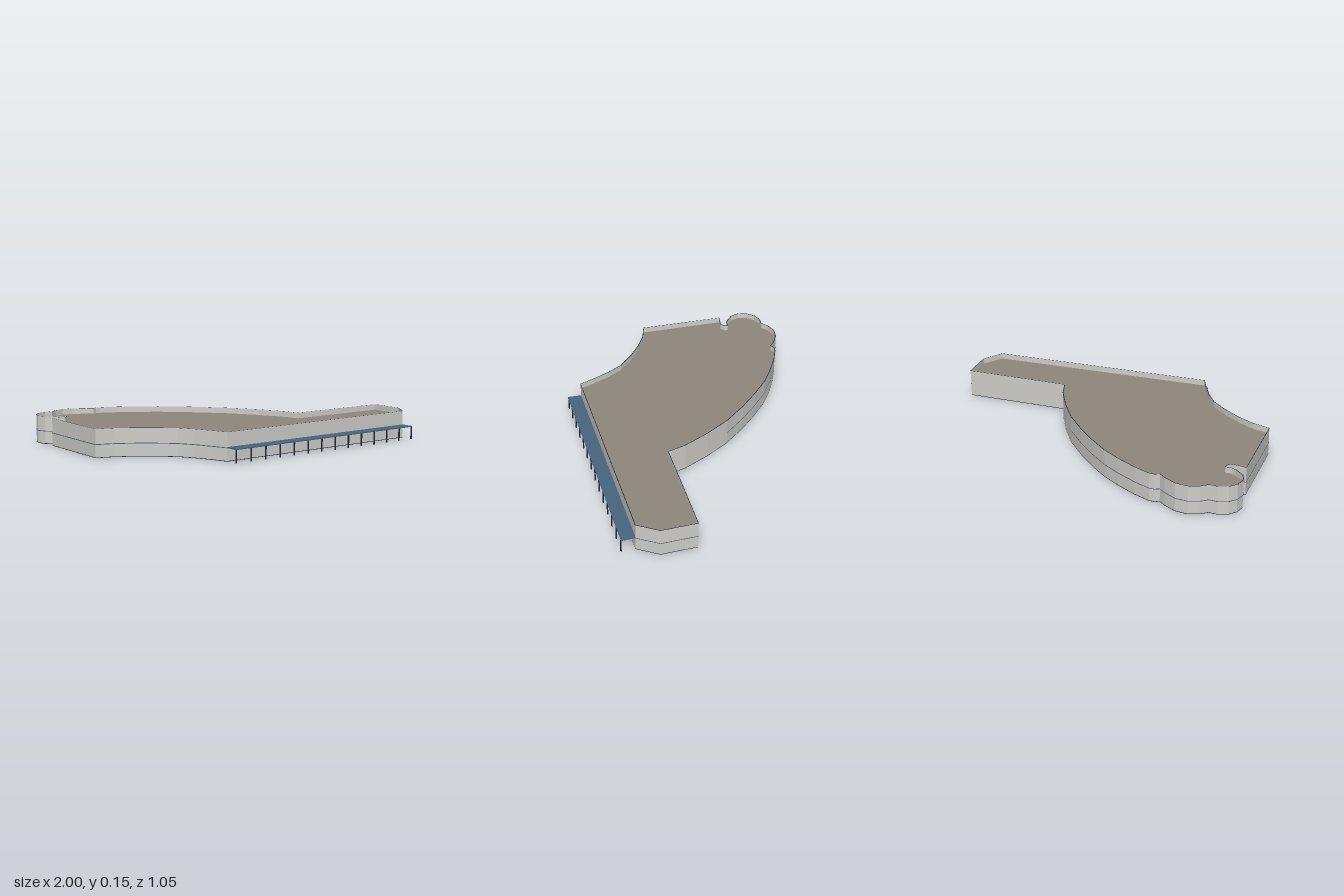
import * as THREE from 'three';

const HEIGHT = 0.145, ROOF_Y = 0.115, BAND_Y = 0.068;

const mat = (name, color) => {
  const m = new THREE.MeshStandardMaterial({ color, side: THREE.DoubleSide });
  m.name = name;
  return m;
};

// Plan outline as [x, z], from the front corner round the wing, back and lobes
const OUTLINE = [
  [-0.1, 0.455], [0.965, -0.08], [0.98, -0.2], [0.895, -0.362], [0.39, -0.12],
  [0.32, -0.195], [0.2, -0.285], [0.07, -0.365], [-0.07, -0.425], [-0.2, -0.47],
  [-0.32, -0.503], [-0.43, -0.518], [-0.55, -0.525], [-0.64, -0.52], [-0.665, -0.51],
  [-0.68, -0.49], [-0.72, -0.5], [-0.79, -0.505], [-0.85, -0.485], [-0.89, -0.445],
  [-0.91, -0.405], [-0.95, -0.39], [-0.985, -0.355], [-0.998, -0.31], [-0.99, -0.26],
  [-0.955, -0.225], [-0.9, -0.21], [-0.875, -0.21], [-0.845, -0.222], [-0.84, -0.205],
  [-0.85, -0.18], [-0.92, -0.158], [-0.725, 0.245], [-0.63, 0.23], [-0.53, 0.235],
  [-0.42, 0.255], [-0.32, 0.285], [-0.24, 0.335], [-0.16, 0.4],
].map(([x, z]) => new THREE.Vector2(x, z));
const COUNT = OUTLINE.length;
const at = (i) => OUTLINE[(i + COUNT) % COUNT];

// Outward normal of the edge from a to b
const edgeNormal = (a, b) => new THREE.Vector2(a.y - b.y, b.x - a.x).normalize();

// Outline corner moved outward by d
function corner(i, d, y) {
  const n = edgeNormal(at(i - 1), at(i)).add(edgeNormal(at(i), at(i + 1))).normalize();
  return [at(i).x + n.x * d, y, at(i).y + n.y * d];
}

// Geometry from four-cornered faces with flat normals
function quads(list) {
  const pos = [];
  for (const [a, b, c, d] of list) pos.push(...a, ...b, ...c, ...a, ...c, ...d);
  const g = new THREE.BufferGeometry();
  g.setAttribute('position', new THREE.Float32BufferAttribute(pos, 3));
  g.computeVertexNormals();
  return g;
}

// Strip along outline edges between two [offset, height] rails
function strip(first, edges, [d0, y0], [d1, y1]) {
  const list = [];
  for (let i = first; i < first + edges; i++) {
    list.push([corner(i, d0, y0), corner(i + 1, d0, y0), corner(i + 1, d1, y1), corner(i, d1, y1)]);
  }
  return quads(list);
}

export function createModel() {
  const group = new THREE.Group();
  const wallMat = mat('pale wall', 0xcfcdc8);
  const roofMat = mat('roof grey', 0x8d877c);
  const blueMat = mat('canopy blue', 0x47647f);
  const glassMat = mat('window blue', 0x4a6f96);
  const darkMat = mat('dark navy', 0x1c2836);

  const add = (name, geometry, material) => {
    const m = new THREE.Mesh(geometry, material);
    m.name = name;
    group.add(m);
    return m;
  };

  // Shell walls, rising above the roof as a parapet
  add('walls', strip(0, COUNT, [0, 0], [0, HEIGHT]), wallMat);

  // Sunken flat roof
  const shape = new THREE.Shape(OUTLINE.map((p) => new THREE.Vector2(p.x, -p.y)));
  const roof = new THREE.ShapeGeometry(shape);
  roof.rotateX(-Math.PI / 2);
  roof.translate(0, ROOF_Y, 0);
  add('roof', roof, roofMat);

  // Thin trims: parapet cap, base line and the floor band
  add('parapetCap', strip(0, COUNT, [0.002, HEIGHT + 0.0005], [-0.002, HEIGHT + 0.0005]), darkMat);
  add('baseTrim', strip(0, COUNT, [0.001, 0], [0.001, 0.003]), darkMat);
  const bandStart = 7, bandEdges = COUNT - bandStart + 3;
  add('floorBand', strip(bandStart, bandEdges, [0.002, BAND_Y - 0.002], [0.002, BAND_Y + 0.002]), blueMat);

  // Windows on the inner face of the walls
  const windows = [];
  for (let i = bandStart; i < bandStart + bandEdges; i++) {
    const a = at(i), b = at(i + 1), len = a.distanceTo(b);
    if (len < 0.045) continue;
    const n = Math.max(1, Math.floor(len / 0.085));
    const half = Math.min(0.048, len * 0.6) / 2;
    const inward = edgeNormal(a, b).multiplyScalar(-0.003);
    const point = (s, y) => {
      const p = a.clone().lerp(b, s / len).add(inward);
      return [p.x, y, p.y];
    };
    for (let k = 0; k < n; k++) {
      const s = ((k + 0.5) / n) * len;
      windows.push([point(s + half, 0.02), point(s - half, 0.02), point(s - half, 0.065), point(s + half, 0.065)]);
    }
  }
  add('windows', quads(windows), glassMat);

  // Slim canopy along the straight front
  const canopyShape = new THREE.Shape([
    [-0.1, 0.455], [-0.07, 0.52], [1, -0.02], [0.965, -0.08],
  ].map(([x, z]) => new THREE.Vector2(x, -z)));
  const canopy = new THREE.ExtrudeGeometry(canopyShape, { depth: 0.005, bevelEnabled: false });
  canopy.rotateX(-Math.PI / 2);
  canopy.translate(0, BAND_Y - 0.001, 0);
  add('canopy', canopy, blueMat);

  // Row of canopy posts
  const posts = new THREE.Group();
  posts.name = 'canopyPosts';
  const postGeo = new THREE.BoxGeometry(0.006, BAND_Y, 0.006);
  for (let i = 0; i < 14; i++) {
    const t = i / 13;
    const post = new THREE.Mesh(postGeo, darkMat);
    post.name = 'canopyPost';
    post.position.set(-0.067 + 1.061 * t, BAND_Y / 2, 0.514 - 0.531 * t);
    post.rotation.y = Math.atan2(0.531, 1.061);
    posts.add(post);
  }
  group.add(posts);

  return group;
}
